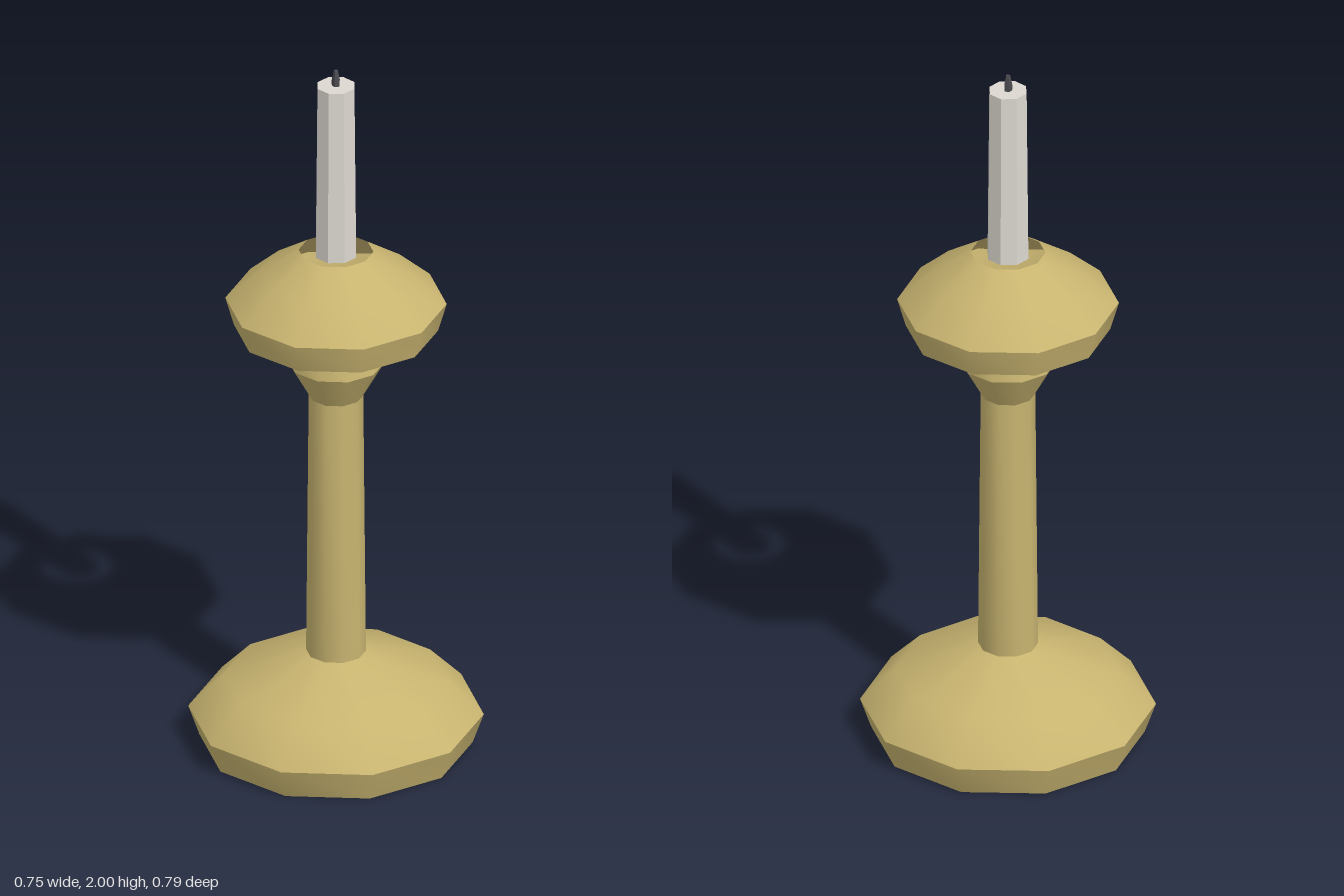
import * as THREE from 'three';
import { toCreasedNormals } from 'three/addons/utils/BufferGeometryUtils.js';

export function createModel() {
  const model = new THREE.Group();
  model.name = 'candlestick';

  const material = (name, color, side = THREE.FrontSide) => {
    const m = new THREE.MeshStandardMaterial({ color, side });
    m.name = name;
    return m;
  };
  const brass = material('brass', 0xc8b470, THREE.DoubleSide);
  const wax = material('wax', 0xdcd8d0);
  const char = material('charredWick', 0x4a4a50);

  // Turned part from a [radius, height] profile, listed bottom to top
  const turned = (name, profile, sides, mat) => {
    const points = profile.map(([r, y]) => new THREE.Vector2(r, y));
    const geometry = toCreasedNormals(new THREE.LatheGeometry(points, sides), 0.7);
    const mesh = new THREE.Mesh(geometry, mat);
    mesh.name = name;
    model.add(mesh);
  };

  // Hollow ten-sided holder, open underneath and through the stem
  turned('base', [[0.365, 0], [0.395, 0.085], [0.297, 0.185], [0.08, 0.265]], 10, brass);
  turned('stem', [[0.08, 0.265], [0.073, 1.03]], 10, brass);
  turned('collar', [[0.073, 1.03], [0.13, 1.13], [0.1, 1.235]], 10, brass);
  turned('dripCup', [[0.273, 1.23], [0.296, 1.31], [0.2, 1.395], [0.1, 1.46]], 10, brass);

  // Candle with a slight taper, resting in the mouth of the cup
  turned('candle', [[0, 1.45], [0.058, 1.45], [0.053, 1.955], [0, 1.955]], 8, wax);

  // Five-sided wick
  turned('wick', [[0.011, 1.95], [0.012, 1.97], [0.006, 2], [0, 2]], 5, char);

  return model;
}
